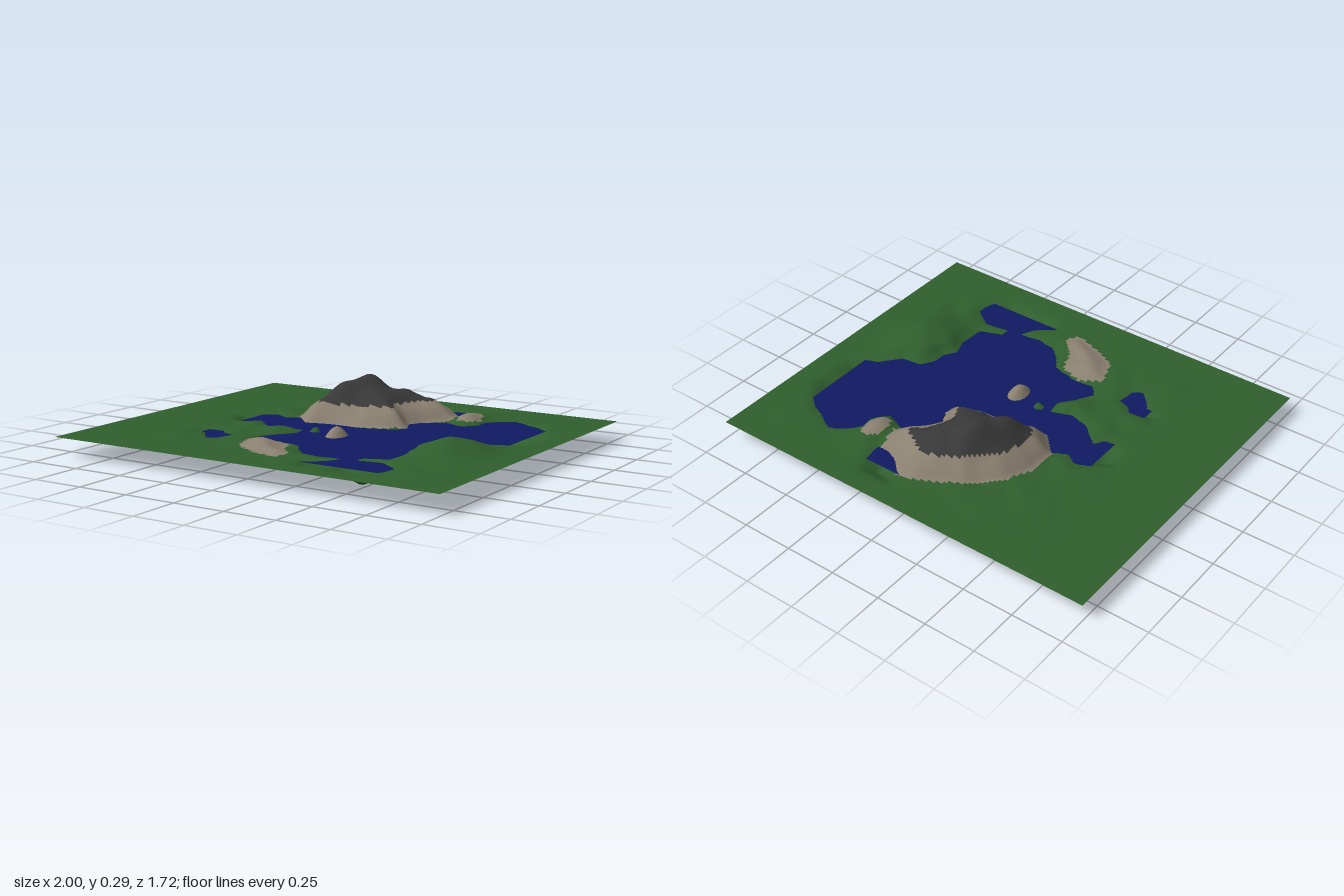
import * as THREE from 'three';

const WATER = 0.085;

// Outlines as x, z pairs
const LAKE = [
  -0.62, -0.05, -0.53, -0.11, -0.46, -0.14, -0.4, -0.1, -0.33, -0.14, -0.25, -0.05, -0.15, -0.09,
  0.05, -0.08, 0.2, -0.13, 0.24, -0.19, 0.19, -0.27, 0.22, -0.34, 0.33, -0.41, 0.42, -0.38,
  0.47, -0.44, 0.46, -0.5, 0.55, -0.58, 0.6, -0.6, 0.68, -0.55, 0.75, -0.52, 0.82, -0.46,
  0.88, -0.36, 0.87, -0.15, 0.81, -0.1, 0.75, -0.08, 0.67, 0.02, 0.57, 0.03, 0.53, 0.1,
  0.53, 0.16, 0.49, 0.22, 0.52, 0.3, 0.51, 0.43, 0.4, 0.47, 0.4, 0.52, 0.52, 0.5,
  0.62, 0.57, 0.61, 0.65, 0.55, 0.74, 0.25, 0.73, 0.21, 0.67, 0.3, 0.6, 0.34, 0.52,
  0.23, 0.54, 0.13, 0.52, 0.08, 0.47, 0.03, 0.4, -0.1, 0.37, -0.2, 0.38, -0.24, 0.33,
  -0.19, 0.24, -0.14, 0.18, -0.15, 0.1, -0.25, 0.14, -0.35, 0.11, -0.4, 0.06, -0.45, 0.02,
  -0.48, 0.07, -0.53, 0.08, -0.6, 0.05,
];
const WEST_POND = [-0.58, 0.33, -0.45, 0.32, -0.43, 0.35, -0.37, 0.37, -0.38, 0.46, -0.42, 0.48,
  -0.47, 0.43, -0.5, 0.39, -0.58, 0.38];
const NORTH_POND = [0.1, -0.74, 0.29, -0.75, 0.31, -0.66, 0.32, -0.57, 0.25, -0.55, 0.18, -0.61, 0.12, -0.67];
const MOUNTAIN = [-0.34, -0.15, -0.33, -0.3, -0.28, -0.42, -0.15, -0.55, 0.05, -0.66, 0.14, -0.66,
  0.2, -0.6, 0.3, -0.57, 0.33, -0.45, 0.24, -0.36, 0.19, -0.28, 0.23, -0.18, 0.15, -0.13,
  0.03, -0.09, -0.1, -0.08, -0.24, -0.05, -0.28, -0.1];
const SOUTH_ROCK = [-0.22, 0.43, -0.12, 0.38, 0, 0.42, 0.03, 0.52, 0.11, 0.6, 0.09, 0.68, -0.05, 0.64, -0.18, 0.57];

// Signed distance to a closed outline, positive inside
function inside(poly, x, z) {
  let best = Infinity, within = false;
  const n = poly.length / 2;
  for (let i = 0, j = n - 1; i < n; j = i++) {
    const ax = poly[2 * j], az = poly[2 * j + 1], bx = poly[2 * i], bz = poly[2 * i + 1];
    const dx = bx - ax, dz = bz - az;
    const t = THREE.MathUtils.clamp(((x - ax) * dx + (z - az) * dz) / (dx * dx + dz * dz), 0, 1);
    best = Math.min(best, Math.hypot(x - ax - t * dx, z - az - t * dz));
    if ((az > z) !== (bz > z) && x < ax + ((z - az) / dz) * dx) within = !within;
  }
  return within ? best : -best;
}

const bump = (x, z, cx, cz, rx, rz = rx) => Math.exp(-(((x - cx) / rx) ** 2) - ((z - cz) / rz) ** 2);

const ripple = (x, z) =>
  (Math.sin(17 * x + 9 * z) + Math.sin(23 * z - 11 * x + 1) + 0.7 * Math.sin(41 * x + 2 * Math.sin(19 * z))) / 2.7;

const island = (x, z) => bump(x, z, 0.05, 0.13, 0.07, 0.1);
const knoll = (x, z) => bump(x, z, 0.41, -0.48, 0.055, 0.085);

function heightAt(x, z) {
  const wet = Math.max(inside(LAKE, x, z), inside(WEST_POND, x, z), inside(NORTH_POND, x, z));
  const fade = 1 - THREE.MathUtils.smoothstep(Math.max(Math.abs(x - 0.13) - 0.05, Math.abs(z)), 0.55, 0.8);
  const n = ripple(x, z);
  let h;
  if (wet > 0) {
    // Sloping shore down to a flat bed
    h = WATER - wet * (0.62 + 0.2 * n);
    h = Math.max(0, h);
    h += 0.13 * island(x, z) * Math.min(1, wet * 8);
    h += 0.06 * bump(x, z, 0.37, 0.22, 0.03) + 0.055 * bump(x, z, -0.08, 0.1, 0.03);
  } else {
    // Low land, gently uneven near the water
    const shore = Math.min(1, -wet / 0.05);
    h = WATER + 0.004 * shore + fade * shore * (0.006 + 0.007 * n);
    h += 0.066 * shore * bump(x, z, 0.68, 0.21, 0.14, 0.17);
    h += 0.02 * shore * bump(x, z, -0.2, 0.2, 0.07, 0.1);
  }
  // Mountain with separate summits
  const m = Math.max(0, inside(MOUNTAIN, x, z));
  if (m > 0) {
    const s = Math.min(1, m / 0.1);
    h += 0.125 * (1 - Math.exp(-m * 10)) * (1 + 0.1 * n * s);
    h += s * (0.08 * bump(x, z, -0.08, -0.38, 0.08) + 0.055 * bump(x, z, -0.14, -0.23, 0.09)
      + 0.03 * bump(x, z, 0.07, -0.32, 0.08, 0.12));
  }
  // Smaller rocky rises
  h += 0.022 * THREE.MathUtils.smoothstep(inside(SOUTH_ROCK, x, z), 0, 0.1);
  h += 0.036 * knoll(x, z);
  return Math.max(0, h);
}

function groundKind(x, y, z) {
  const m = inside(MOUNTAIN, x, z);
  if (m > 0.02 && y > 0.172) return 'peakRock';
  const rocky = m > -0.008 || inside(SOUTH_ROCK, x, z) > 0 || knoll(x, z) > 0.4 || island(x, z) > 0.3;
  return rocky ? 'paleRock' : 'grass';
}

export function createModel() {
  const group = new THREE.Group();

  // One height field, split into ground kinds that share its smooth normals
  const terrain = new THREE.PlaneGeometry(2, 1.72, 128, 110).rotateX(-Math.PI / 2);
  const p = terrain.attributes.position;
  for (let i = 0; i < p.count; i++) {
    p.setY(i, heightAt(p.getX(i), p.getZ(i)));
  }
  terrain.computeVertexNormals();

  const faces = { grass: [], paleRock: [], peakRock: [] };
  const index = terrain.index.array;
  for (let i = 0; i < index.length; i += 6) {
    const a = index[i], b = index[i + 4];
    const kind = groundKind((p.getX(a) + p.getX(b)) / 2, (p.getY(a) + p.getY(b)) / 2, (p.getZ(a) + p.getZ(b)) / 2);
    faces[kind].push(...index.slice(i, i + 6));
  }

  const colors = { grass: 0x2f5e2d, paleRock: 0x8a8070, peakRock: 0x383838 };
  for (const [name, list] of Object.entries(faces)) {
    const geometry = new THREE.BufferGeometry();
    geometry.setAttribute('position', p);
    geometry.setAttribute('normal', terrain.attributes.normal);
    geometry.setIndex(list);
    const mesh = new THREE.Mesh(geometry,
      new THREE.MeshStandardMaterial({ color: colors[name], side: THREE.DoubleSide }));
    mesh.name = name;
    group.add(mesh);
  }

  // Square sheet of water
  const water = new THREE.Mesh(new THREE.PlaneGeometry(1.34, 1.34).rotateX(-Math.PI / 2),
    new THREE.MeshStandardMaterial({ color: 0x101a62, side: THREE.DoubleSide }));
  water.name = 'water';
  water.position.set(0.14, WATER, 0);
  group.add(water);

  return group;
}
